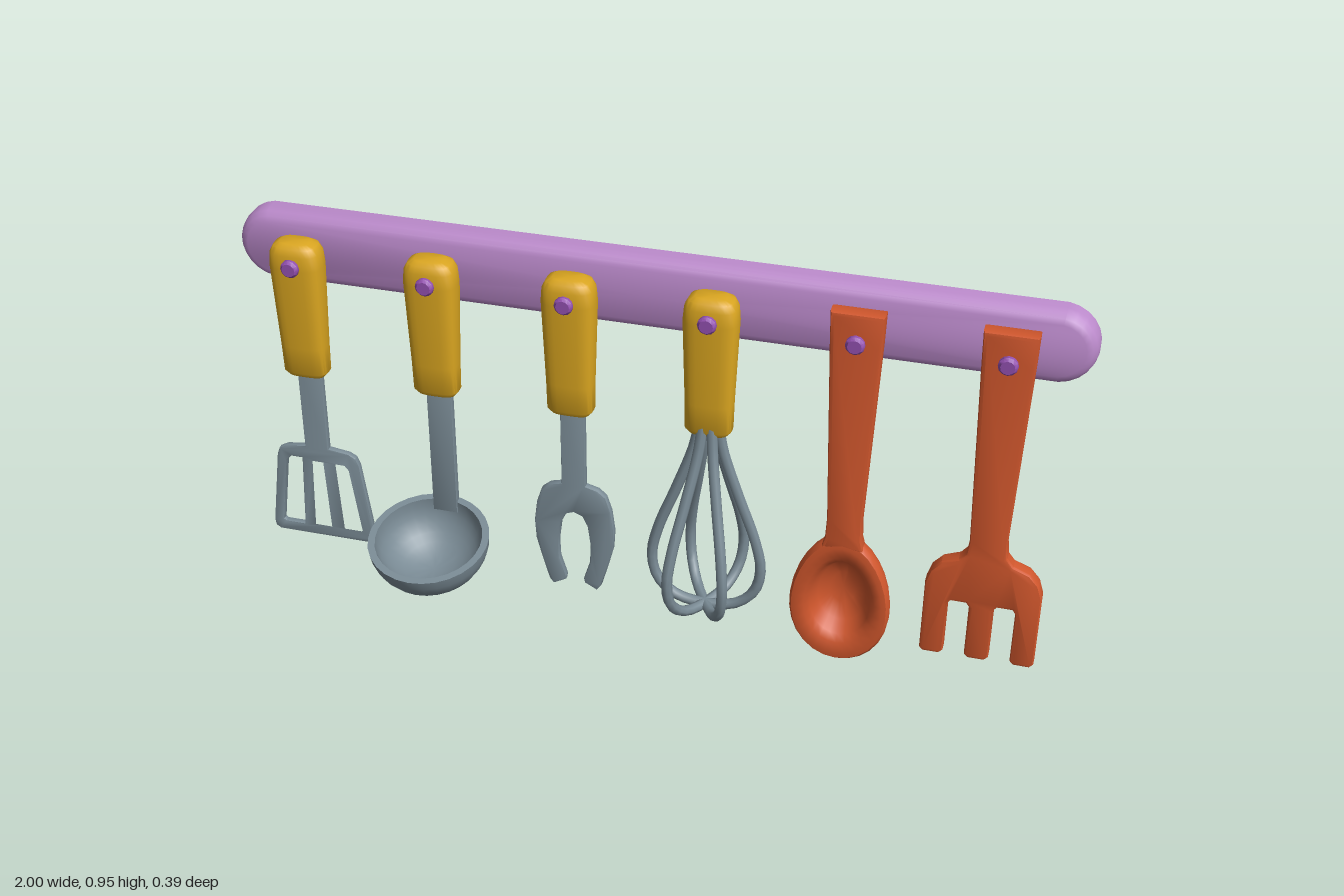
import * as THREE from 'three';
import { toCreasedNormals } from 'three/addons/utils/BufferGeometryUtils.js';

const mat = (name, color) => {
  const m = new THREE.MeshStandardMaterial({ color });
  m.name = name;
  return m;
};
const V2 = (p) => new THREE.Vector2(p[0], p[1]);

// Closed solid through rings of [x, y, z] points (counter-clockwise seen from +z, going towards +z)
function loft(rings) {
  const n = rings[0].length, pos = [], idx = [];
  rings.forEach((r) => r.forEach((p) => pos.push(...p)));
  for (let i = 0; i < rings.length - 1; i++) {
    for (let j = 0; j < n; j++) {
      const k = (j + 1) % n, a = i * n + j, b = i * n + k;
      idx.push(a, b, a + n, b, b + n, a + n);
    }
  }
  [0, rings.length - 1].forEach((i) => {
    const c = pos.length / 3;
    pos.push(...[0, 1, 2].map((q) => rings[i].reduce((s, p) => s + p[q], 0) / n));
    for (let j = 0; j < n; j++) {
      const a = i * n + j, b = i * n + (j + 1) % n;
      if (i === 0) idx.push(c, b, a); else idx.push(c, a, b);
    }
  });
  const g = new THREE.BufferGeometry();
  g.setAttribute('position', new THREE.Float32BufferAttribute(pos, 3));
  g.setIndex(idx);
  return toCreasedNormals(g, 0.7);
}

const ring = (n, f) => Array.from({ length: n }, (_, i) => f((i / n) * Math.PI * 2));

// Flat outline with bevelled edges, between z0 and z1
function plate(points, z0, z1, bevel, holes = []) {
  const shape = new THREE.Shape(points.map(V2));
  holes.forEach((h) => shape.holes.push(new THREE.Path(h.map(V2))));
  const g = new THREE.ExtrudeGeometry(shape, {
    depth: z1 - z0 - 2 * bevel, bevelEnabled: true, bevelThickness: bevel,
    bevelSize: bevel, bevelOffset: -bevel, bevelSegments: 2, curveSegments: 6,
  });
  g.translate(0, 0, z0 + bevel);
  return toCreasedNormals(g, 0.6);
}

// Right half of an outline, top to bottom, mirrored into a whole one
const mirror = (half) => [...half, ...half.filter((p) => p[0] > 0).reverse().map(([x, y]) => [-x, y])];

export function createModel() {
  const root = new THREE.Group();
  const lilac = mat('lilac rail', 0xbb8acb);
  const purple = mat('purple pegs', 0x9350b0);
  const yellow = mat('yellow handles', 0xd9a520);
  const grey = mat('grey metal', 0x7a8b95);
  const orange = mat('orange utensils', 0xcf562c);

  const add = (parent, name, geo, material) => {
    const m = new THREE.Mesh(geo, material);
    m.name = name;
    parent.add(m);
    return m;
  };

  // Wall rail: rounded ends, flat back, softened front edge
  const railRing = (r, z) => ring(24, (t) => {
    const a = t + Math.PI / 24;
    return [Math.sign(Math.cos(a)) * 0.91 + r * Math.cos(a), 0.865 + r * Math.sin(a), z];
  });
  add(root, 'rail', loft([[0.09, -0.187], [0.09, -0.16], [0.086, -0.143],
    [0.077, -0.131], [0.064, -0.125]].map(([r, z]) => railRing(r, z))), lilac);

  // One group per hanging utensil, each with a peg
  const names = ['turner', 'ladle', 'carvingFork', 'whisk', 'spoon', 'servingFork'];
  const pegGeo = new THREE.LatheGeometry(
    [[0, -0.14], [0.018, -0.14], [0.018, -0.035], [0.022, -0.033], [0.022, -0.025], [0.016, -0.018], [0, -0.018]].map(V2), 12);
  pegGeo.rotateX(Math.PI / 2);
  const pegSmooth = toCreasedNormals(pegGeo, 0.6);
  const tools = names.map((name, i) => {
    const g = new THREE.Group();
    g.name = name;
    g.position.x = -0.825 + i * 0.3286;
    root.add(g);
    add(g, 'peg', pegSmooth, purple).position.y = 0.868;
    return g;
  });
  const [turner, ladle, carvingFork, whisk, spoon, servingFork] = tools;

  // Yellow grips: rounded rectangular sections [y, half width, half depth]
  const pw = (v) => Math.sign(v) * Math.abs(v) ** 0.6;
  const gripGeo = loft([[0.568, 0.045, 0.024], [0.58, 0.055, 0.031], [0.65, 0.056, 0.034],
    [0.86, 0.063, 0.042], [0.895, 0.06, 0.041], [0.912, 0.051, 0.035], [0.92, 0.036, 0.024]]
    .map(([y, hx, hz]) => ring(24, (t) => [hx * pw(Math.cos(t)), hz * pw(Math.sin(t)), y])));
  gripGeo.rotateX(-Math.PI / 2);
  gripGeo.translate(0, 0, -0.073);
  tools.slice(0, 4).forEach((g) => add(g, 'grip', gripGeo, yellow));

  // Turner: stem and slotted blade
  const midSlot = mirror([[0.018, 0.315], [0.026, 0.117]]);
  const sideSlot = [[0.042, 0.315], [0.072, 0.315], [0.084, 0.3], [0.108, 0.122], [0.103, 0.117], [0.052, 0.117]];
  add(turner, 'blade', plate(mirror([[0.031, 0.6], [0.031, 0.352], [0.082, 0.345], [0.1, 0.335],
    [0.108, 0.315], [0.135, 0.115], [0.132, 0.098], [0.12, 0.09]]), -0.094, -0.076, 0.004,
  [midSlot, sideSlot, sideSlot.map(([x, y]) => [-x, y])]), grey);

  // Ladle: stem and tilted hollow bowl
  add(ladle, 'stem', plate(mirror([[0.031, 0.6], [0.031, 0.225]]), -0.096, -0.074, 0.004), grey);
  const bowl = [];
  for (let i = 0; i <= 8; i++) {
    const a = (i / 8) * Math.PI / 2;
    bowl.push([0.147 * Math.sin(a), -0.128 * Math.cos(a)]);
  }
  for (let i = 8; i >= 0; i--) {
    const a = (i / 8) * Math.PI / 2;
    bowl.push([0.13 * Math.sin(a), -0.112 * Math.cos(a)]);
  }
  const bowlMesh = add(ladle, 'bowl', toCreasedNormals(new THREE.LatheGeometry(bowl.map(V2), 28), 0.6), grey);
  bowlMesh.position.set(0, 0.226, 0.045);
  bowlMesh.rotation.x = 0.225;

  // Carving fork: stem and two curved prongs
  add(carvingFork, 'prongs', plate(mirror([[0.03, 0.6], [0.03, 0.36], [0.06, 0.352], [0.08, 0.335],
    [0.093, 0.295], [0.1, 0.24], [0.097, 0.19], [0.083, 0.135], [0.066, 0.075], [0.055, 0.06], [0.024, 0.077],
    [0.022, 0.088], [0.038, 0.14], [0.04, 0.19], [0.033, 0.245], [0.02, 0.272], [0, 0.28]]),
  -0.096, -0.074, 0.006), grey);

  // Whisk: three crossing wire loops
  const half = [[0.022, 0.59], [0.035, 0.52], [0.075, 0.4], [0.118, 0.28], [0.133, 0.2], [0.118, 0.135], [0.072, 0.092]];
  const path = [...half, [0, 0.08], ...half.slice().reverse().map(([x, y]) => [-x, y])];
  const wire = new THREE.TubeGeometry(
    new THREE.CatmullRomCurve3(path.map(([x, y]) => new THREE.Vector3(x, y, 0))), 48, 0.013, 8);
  for (let i = 0; i < 3; i++) {
    const w = add(whisk, 'wireLoop', wire, grey);
    w.position.z = -0.073;
    w.rotation.y = (i * Math.PI) / 3;
  }

  // Spoon: tapered handle and dished egg-shaped bowl
  add(spoon, 'handle', plate(mirror([[0.06, 0.938], [0.058, 0.86], [0.04, 0.4], [0.042, 0.35], [0.05, 0.32]]),
    -0.078, -0.035, 0.009), orange);
  add(spoon, 'bowl', loft([[0.25, -0.138], [0.45, -0.134], [0.65, -0.12], [0.85, -0.098], [0.97, -0.075],
    [1, -0.06], [1, -0.047], [0.95, -0.036], [0.86, -0.034], [0.7, -0.037], [0.6, -0.05], [0.48, -0.08], [0.25, -0.098]]
    .map(([s, z]) => ring(28, (t) => [
      s * 0.118 * Math.cos(t) * (1 - 0.12 * Math.sin(t)), 0.175 + s * 0.175 * Math.sin(t), z]))), orange);

  // Serving fork: tapered handle, shoulders and three tines
  add(servingFork, 'fork', plate(mirror([[0.06, 0.938], [0.058, 0.86], [0.042, 0.4], [0.046, 0.365],
    [0.062, 0.345], [0.1, 0.33], [0.122, 0.305], [0.133, 0.27], [0.133, 0.08], [0.125, 0.072], [0.086, 0.072],
    [0.078, 0.08], [0.078, 0.215], [0.07, 0.227], [0.036, 0.227], [0.028, 0.215], [0.028, 0.08], [0.02, 0.072]]),
  -0.078, -0.035, 0.009), orange);

  return root;
}
